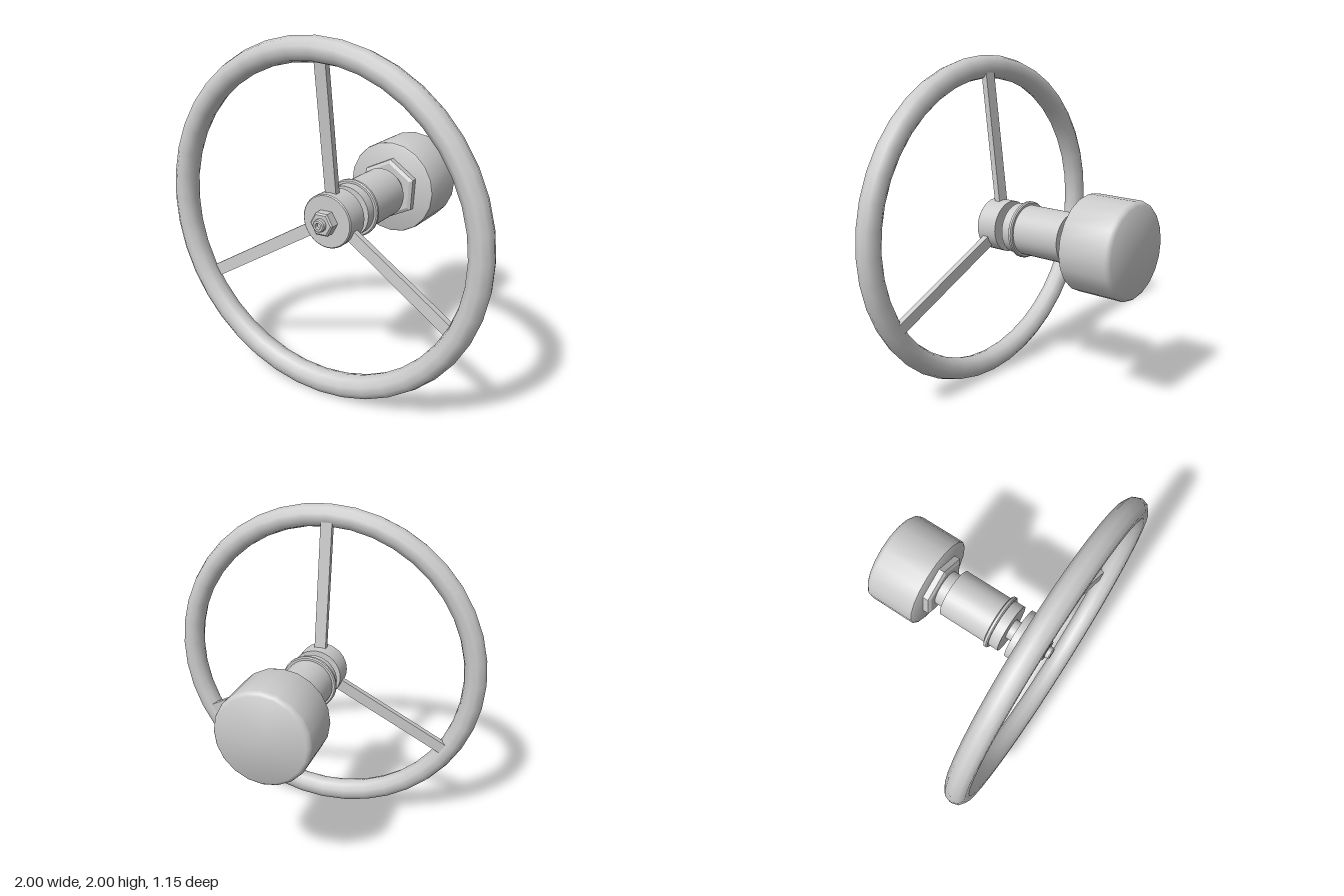
import * as THREE from 'three';
import { toCreasedNormals } from 'three/addons/utils/BufferGeometryUtils.js';

const material = new THREE.MeshStandardMaterial({ color: 0xcccccc });

export function createModel() {
  const model = new THREE.Group();
  model.name = 'handwheelValve';
  const axis = new THREE.Group();
  axis.name = 'axisAssembly';
  axis.position.y = 1;
  model.add(axis);

  const add = (name, geometry, parent = axis) => {
    const mesh = new THREE.Mesh(geometry, material);
    mesh.name = name;
    parent.add(mesh);
    return mesh;
  };

  // Turned part along z; the profile lists [radius, z] from back to front
  const turned = (name, profile, sides = 32, turn = 0, crease = 0.65) => {
    const points = profile.map(([r, z]) => new THREE.Vector2(r, z));
    const geometry = new THREE.LatheGeometry(points, sides);
    geometry.rotateX(Math.PI / 2).rotateZ(turn);
    return add(name, toCreasedNormals(geometry, crease));
  };

  // Rim
  add('rim', new THREE.TorusGeometry(0.932, 0.068, 10, 40)).position.z = 0.509;

  // Three flat spokes leaning forward from the hub to the rim
  const inner = new THREE.Vector2(0.12, 0.381), outer = new THREE.Vector2(0.91, 0.469);
  const span = outer.clone().sub(inner);
  for (let i = 0; i < 3; i++) {
    const arm = new THREE.Group();
    arm.name = 'spokeArm' + (i + 1);
    arm.rotation.z = (i * Math.PI * 2) / 3;
    const spoke = add('spoke', new THREE.BoxGeometry(0.07, span.length(), 0.036), arm);
    spoke.position.set(0, (inner.x + outer.x) / 2, (inner.y + outer.y) / 2);
    spoke.rotation.x = Math.atan2(span.y, span.x);
    axis.add(arm);
  }

  // Hub, its hexagonal nut and the hollow stud end
  turned('hub', [[0, 0.305], [0.153, 0.305], [0.153, 0.438], [0.147, 0.444], [0, 0.444]]);
  turned('hubNut', [[0, 0.44], [0.072, 0.44], [0.072, 0.492], [0.062, 0.5], [0, 0.5]], 6, Math.PI / 6, 0.3);
  turned('studEnd', [[0, 0.49], [0.036, 0.49], [0.036, 0.522], [0.03, 0.528], [0.018, 0.528], [0.018, 0.505], [0, 0.505]], 20);

  // Stem and bonnet with a thin collar
  turned('stem', [[0, 0.24], [0.062, 0.24], [0.062, 0.31], [0, 0.31]], 24);
  turned('bonnet', [[0, -0.142], [0.148, -0.142], [0.148, 0.255], [0, 0.255]]);
  turned('collar', [[0.14, 0.168], [0.161, 0.168], [0.168, 0.174], [0.168, 0.188], [0.161, 0.194], [0.14, 0.194]]);
  turned('neck', [[0, -0.22], [0.109, -0.22], [0.109, -0.13], [0, -0.13]]);

  // Large hexagonal nut, corners chamfered at the front
  turned('bodyNut', [[0, -0.255], [0.187, -0.255], [0.187, -0.215], [0.165, -0.204], [0, -0.204]], 6, -0.08, 0.3);

  // End cap with a rounded back edge and a slightly broken front edge
  turned('endCap', [
    [0, -0.575], [0.256, -0.575], [0.268, -0.567], [0.277, -0.556], [0.28, -0.545],
    [0.28, -0.263], [0.277, -0.255], [0.268, -0.25], [0, -0.25],
  ], 20);

  return model;
}
